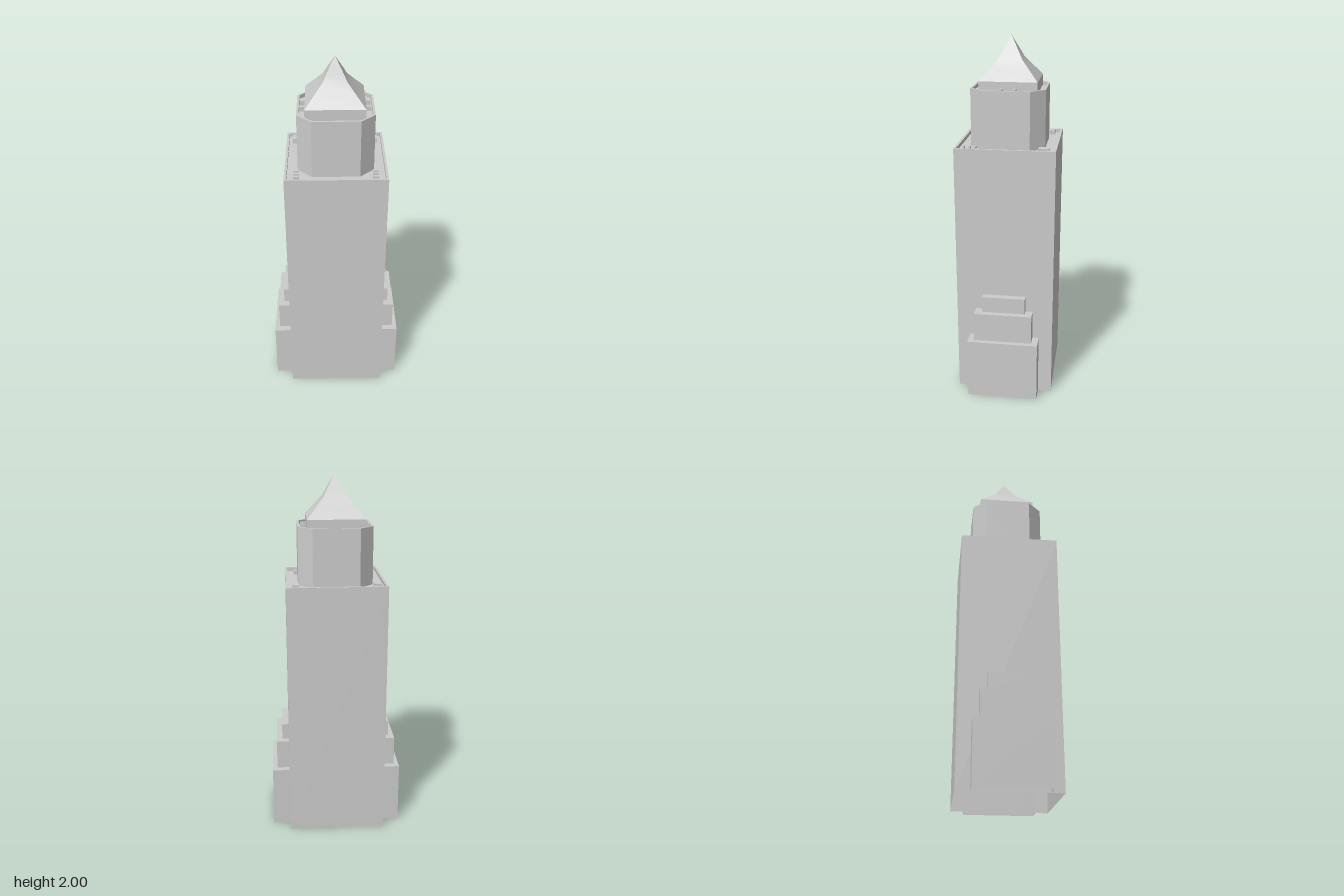
import * as THREE from 'three';
import { toCreasedNormals } from 'three/addons/utils/BufferGeometryUtils.js';

export function createModel() {
  const group = new THREE.Group();
  const mat = new THREE.MeshStandardMaterial({ color: 0xcccccc, side: THREE.DoubleSide });

  const add = (name, geo) => {
    const mesh = new THREE.Mesh(geo, mat);
    mesh.name = name;
    group.add(mesh);
    return mesh;
  };

  // Box given by its limits; openBottom drops the underside
  const block = (name, [x0, x1], [y0, y1], [z0, z1], openBottom = false) => {
    const geo = new THREE.BoxGeometry(x1 - x0, y1 - y0, z1 - z0);
    if (openBottom) {
      const idx = Array.from(geo.index.array);
      idx.splice(18, 6);
      geo.setIndex(idx);
      geo.clearGroups();
    }
    geo.translate((x0 + x1) / 2, (y0 + y1) / 2, (z0 + z1) / 2);
    return add(name, geo);
  };

  // Square outline with half width h and corners cut back to c
  const outline = (h, c) => (c === h
    ? [[h, h], [-h, h], [-h, -h], [h, -h]]
    : [[h, c], [c, h], [-c, h], [-h, c], [-h, -c], [-c, -h], [c, -h], [h, -c]]
  ).map(([x, y]) => new THREE.Vector2(x, y));

  // Upright prism from an outline, optionally hollow
  const prism = (name, points, y0, y1, hole) => {
    const shape = new THREE.Shape(points);
    if (hole) shape.holes.push(new THREE.Path(hole));
    const geo = new THREE.ExtrudeGeometry(shape, { depth: y1 - y0, bevelEnabled: false });
    geo.rotateX(-Math.PI / 2).translate(0, y0, 0);
    return add(name, geo);
  };

  // Main shaft, open below, with a thin parapet around the roof
  const T = 0.271, deck = 1.42;
  block('towerShaft', [-T, T], [0, deck], [-T, T], true);
  prism('towerParapet', outline(T, T), deck, 1.44, outline(T - 0.013, T - 0.013));

  // Stepped annexes on both sides: reach, bottom, top, half depth
  const steps = [[0.368, 0, 0.345, 0.198], [0.341, 0.345, 0.51, 0.162], [0.309, 0.51, 0.6, 0.121]];
  for (const s of [-1, 1]) {
    const side = s > 0 ? 'left' : 'right';
    steps.forEach(([reach, y0, y1, d], i) => {
      const xs = s > 0 ? [T, reach] : [-reach, -T];
      block(`${side}AnnexStep${i + 1}`, xs, [y0, y1], [-d + 0.003, d + 0.003], i === 0);
    });

    // Rooftop units in the corners
    const cx = s * 0.218;
    block(`${side}RoofUnit`, [cx - 0.019, cx + 0.019], [deck, 1.446], [-0.232, -0.175]);
    const fx = s * 0.208;
    for (const z of [0.166, 0.196, 0.228]) {
      block(`${side}RoofVent`, [fx - 0.014, fx + 0.014], [deck, 1.44], [z - 0.006, z + 0.006]);
    }

    // Bars beside the spire base
    for (const z of [-0.042, 0.031]) {
      const xs = s > 0 ? [0.15, 0.184] : [-0.189, -0.15];
      block(`${side}SpireBar`, xs, [1.715, 1.74], [z - 0.006, z + 0.006]);
    }
  }

  // Eight-sided crown with its own parapet
  prism('crown', outline(0.202, 0.126), deck, 1.715);
  prism('crownParapet', outline(0.202, 0.126), 1.715, 1.735, outline(0.19, 0.121));

  // Spire: square base and gently concave four-sided roof
  const P = 0.156;
  const base = block('spireBase', [-P, P], [1.715, 1.775], [-P, P]);
  const profile = [[P, 1.775], [0.104, 1.834], [0.062, 1.883], [0.045, 1.917], [0, 2]]
    .map(([r, y]) => new THREE.Vector2(r * Math.SQRT2, y));
  const roof = new THREE.LatheGeometry(profile, 4, Math.PI / 4);
  const spire = add('spireRoof', toCreasedNormals(roof, 0.6));
  for (const m of [base, spire]) m.position.set(-0.003, 0, -0.003);

  return group;
}
